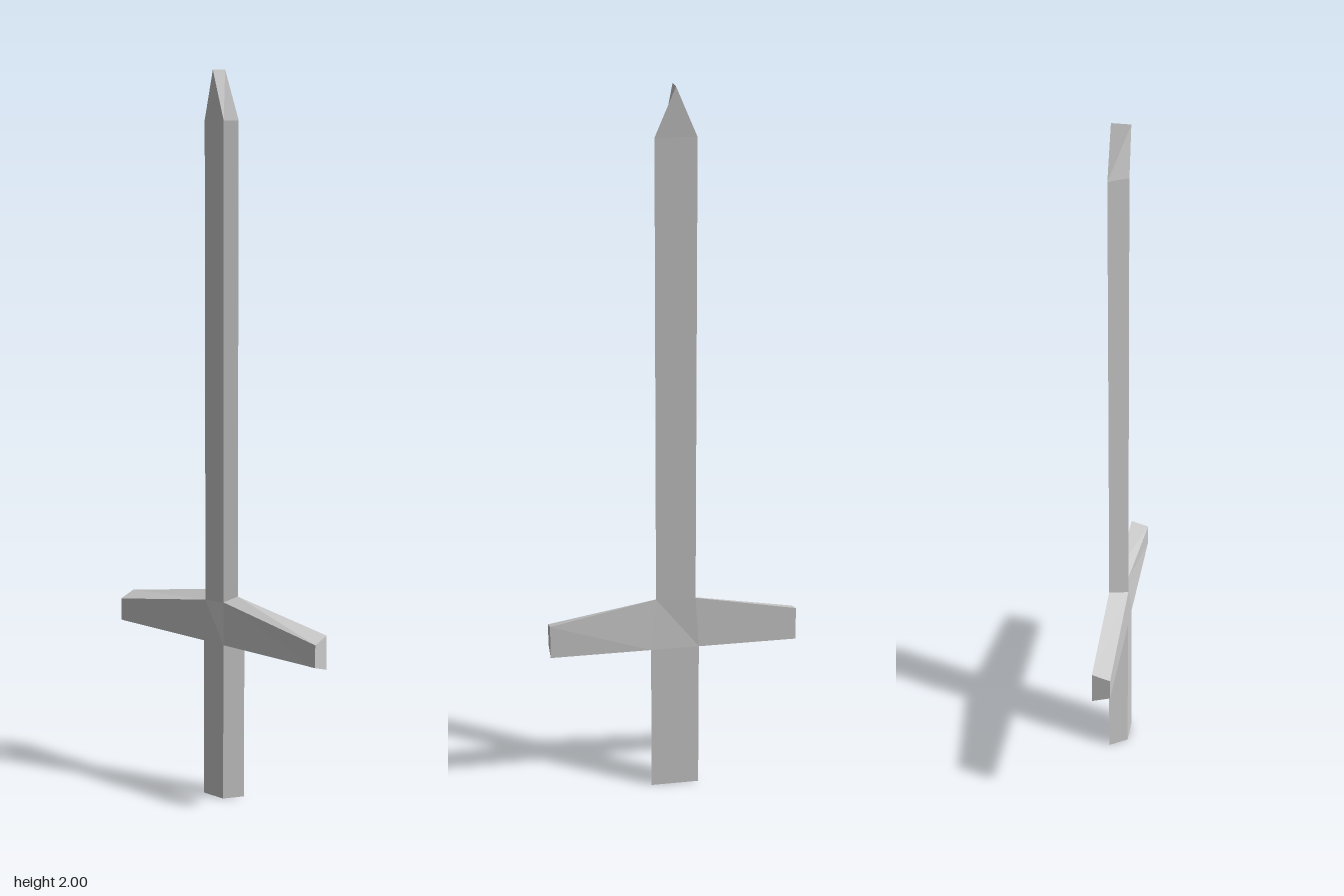
import * as THREE from 'three';

const material = new THREE.MeshStandardMaterial({ color: 0xcccccc, flatShading: true });

// Skins a row of four-cornered cross-sections and caps both ends
function loft(name, sections) {
  const pos = [];
  const quad = (a, b, c, d) => pos.push(...a, ...b, ...c, ...a, ...c, ...d);
  for (let s = 0; s + 1 < sections.length; s++) {
    const p = sections[s], q = sections[s + 1];
    for (let i = 0; i < 4; i++) {
      const j = (i + 1) % 4;
      quad(p[i], p[j], q[j], q[i]);
    }
  }
  quad(...[...sections[0]].reverse());
  quad(...sections[sections.length - 1]);
  const geometry = new THREE.BufferGeometry();
  geometry.setAttribute('position', new THREE.Float32BufferAttribute(pos, 3));
  geometry.computeVertexNormals();
  const mesh = new THREE.Mesh(geometry, material);
  mesh.name = name;
  return mesh;
}

const Z = 0.025;            // half thickness
const ZF = 0.0145, ZB = -0.0155; // thinner right edge of the blade

export function createModel() {
  const group = new THREE.Group();
  group.name = 'sword';

  // Blade: narrow front, wide back, pinched into a ridge at the tip
  const bladeSection = (yFront, yBack) => [
    [-0.032, yFront, Z], [0.024, yFront, ZF], [0.05, yBack, ZB], [-0.06, yBack, -Z],
  ];
  const tip = -0.004;
  group.add(loft('blade', [
    bladeSection(0.565, 0.58),
    bladeSection(1.87, 1.87),
    [[tip, 2, Z], [tip, 2, Z], [tip, 2, -Z], [tip, 2, -Z]],
  ]));

  // Crossguard: bevelled bar that tapers towards both ends
  const guardEnd = (x) => [
    [x, 0.51, Z], [x, 0.447, Z], [x, 0.43, -Z], [x, 0.525, -Z],
  ];
  group.add(loft('crossguard', [
    guardEnd(-0.348),
    [[-0.032, 0.565, Z], [-0.038, 0.447, Z], [-0.07, 0.43, -Z], [-0.06, 0.58, -Z]],
    [[0.024, 0.565, ZF], [0.032, 0.447, Z], [0.066, 0.43, -Z], [0.05, 0.58, ZB]],
    guardEnd(0.348),
  ]));

  // Grip: straight bar with the same bevelled section
  const gripSection = (yFront, yBack) => [
    [-0.038, yFront, Z], [0.032, yFront, Z], [0.066, yBack, -Z], [-0.07, yBack, -Z],
  ];
  group.add(loft('grip', [gripSection(0, 0), gripSection(0.447, 0.43)]));

  return group;
}
